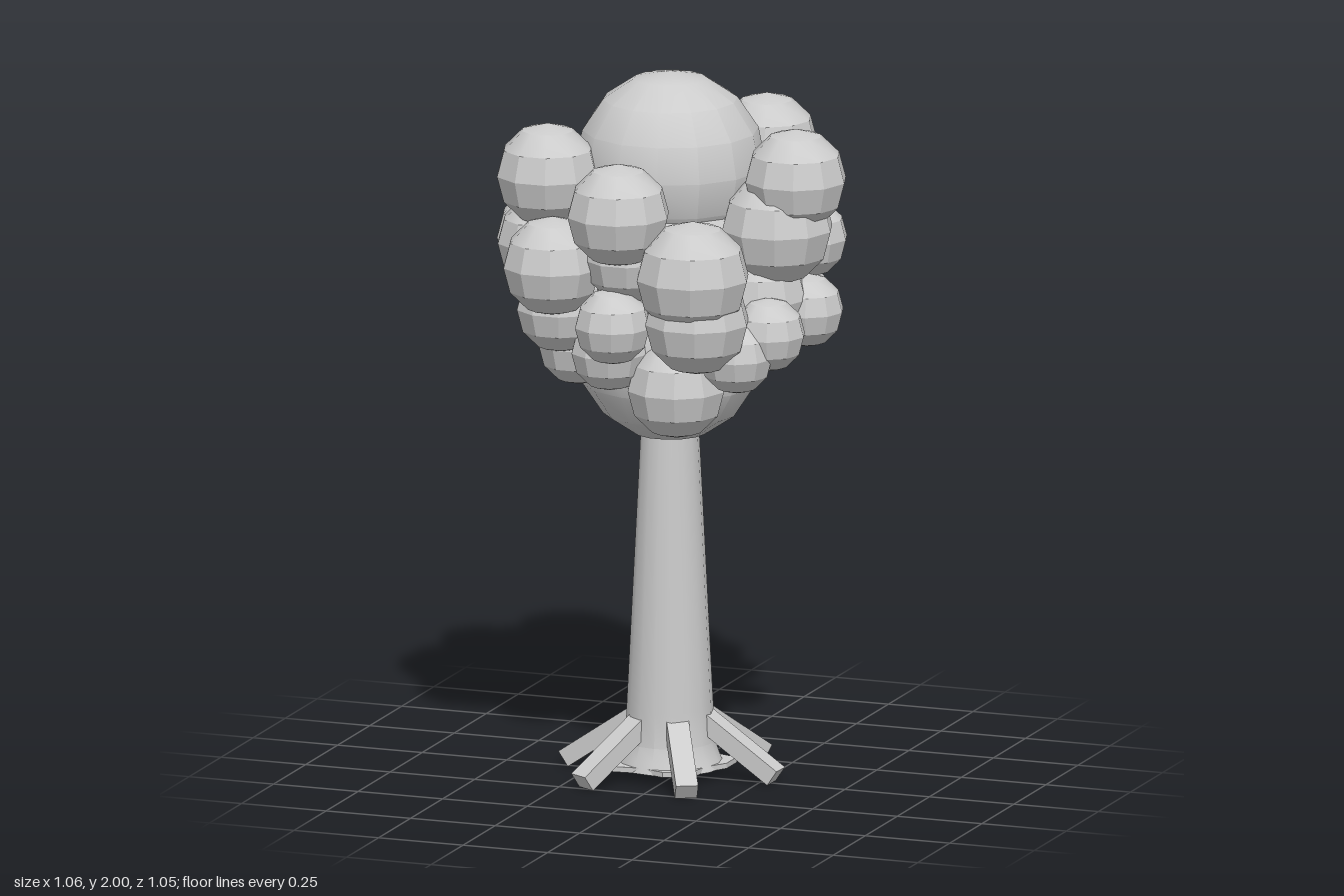
import * as THREE from 'three';
import { toCreasedNormals } from 'three/addons/utils/BufferGeometryUtils.js';

const CX = -0.015; // trunk axis
const CREASE = 0.47;

// Small leaf clumps: x, y, z, radius
const upperClumps = [
  [-0.17, 1.635, -0.375, 0.158], [0.16, 1.745, -0.29, 0.144], [0.383, 1.74, 0.075, 0.144],
  [-0.03, 1.67, 0.37, 0.145], [-0.29, 1.735, 0.235, 0.145],
];
const middleClumps = [
  [-0.4, 1.495, -0.025, 0.134], [-0.395, 1.53, -0.235, 0.128], [-0.27, 1.55, -0.25, 0.144],
  [0.03, 1.52, -0.36, 0.125], [0.21, 1.58, -0.275, 0.148], [0.34, 1.525, -0.14, 0.11],
  [0.33, 1.6, 0.08, 0.158], [0.19, 1.51, 0.37, 0.16], [-0.24, 1.5, 0.33, 0.14],
  [-0.03, 1.53, 0.29, 0.125], [-0.32, 1.53, 0.18, 0.134],
];
const lowerClumps = [
  [0.195, 1.38, 0.35, 0.148], [0.28, 1.27, 0.265, 0.104], [0.35, 1.325, 0.2, 0.104],
  [0.39, 1.355, 0.005, 0.104], [0.22, 1.305, -0.3, 0.118], [-0.05, 1.35, 0.36, 0.108],
  [-0.35, 1.38, -0.17, 0.134], [-0.33, 1.36, 0.03, 0.125], [-0.17, 1.42, -0.34, 0.138],
  [0.03, 1.24, -0.385, 0.1], [-0.25, 1.36, 0.24, 0.125], [0.28, 1.4, 0.08, 0.134],
  [0.2, 1.38, -0.12, 0.12], [0, 1.38, -0.26, 0.12],
];
const bottomClumps = [
  [0.08, 1.15, 0.205, 0.14], [-0.225, 1.17, -0.15, 0.14], [-0.1, 1.25, 0.25, 0.11],
  [-0.23, 1.24, 0.15, 0.115], [0.17, 1.23, -0.1, 0.11],
];

function ball(r, w, h) {
  return toCreasedNormals(new THREE.SphereGeometry(r, w, h), CREASE);
}

export function createModel() {
  const model = new THREE.Group();
  const grey = new THREE.MeshStandardMaterial({ color: 0xcccccc });
  grey.name = 'plain grey';

  const add = (parent, name, geometry, x, y, z) => {
    const mesh = new THREE.Mesh(geometry, grey);
    mesh.name = name;
    mesh.position.set(x, y, z);
    parent.add(mesh);
    return mesh;
  };

  // Tapered trunk with a flared foot
  const profile = [[0, 0.03], [0.15, 0.03], [0.138, 0.06], [0.124, 0.1], [0.12, 0.2], [0.08, 1.0], [0, 1.0]];
  const trunk = new THREE.LatheGeometry(profile.map(([r, y]) => new THREE.Vector2(r, y)), 16);
  add(model, 'trunk', toCreasedNormals(trunk, CREASE), CX, 0, 0.005);

  // Ragged plate at the foot
  const rim = new THREE.Shape();
  for (let i = 0; i < 14; i++) {
    const a = (i / 14) * Math.PI * 2;
    const r = 0.165 + 0.025 * Math.sin(i * 2.3);
    rim[i ? 'lineTo' : 'moveTo'](Math.cos(a) * r, Math.sin(a) * r);
  }
  const plate = new THREE.ExtrudeGeometry(rim, { depth: 0.015, bevelEnabled: false });
  plate.rotateX(-Math.PI / 2);
  add(model, 'footPlate', plate, CX, 0.03, 0);

  // Six sloping roots
  const roots = new THREE.Group();
  roots.name = 'roots';
  roots.position.set(CX, 0, -0.008);
  roots.rotation.y = -0.03;
  const slope = 0.6;
  for (let i = 0; i < 6; i++) {
    const arm = new THREE.Group();
    arm.name = 'rootArm';
    arm.rotation.y = (i * Math.PI) / 3;
    const root = add(arm, 'root', new THREE.BoxGeometry(0.26, 0.05, 0.062), 0.205, 0.094, 0);
    root.rotation.z = -slope;
    roots.add(arm);
  }
  model.add(roots);

  // Large crown balls stacked on the trunk
  const crown = new THREE.Group();
  crown.name = 'crown';
  for (const [y, r] of [[1.22, 0.265], [1.48, 0.28], [1.735, 0.265]]) {
    add(crown, 'crownCore', ball(r, 14, 8), CX, y, 0.003);
  }
  model.add(crown);

  // Leaf clumps by layer
  const layers = { upperClumps, middleClumps, lowerClumps, bottomClumps };
  for (const [name, list] of Object.entries(layers)) {
    const layer = new THREE.Group();
    layer.name = name;
    list.forEach(([x, y, z, r]) => add(layer, 'leafClump', ball(r, 10, 6), x, y, z));
    model.add(layer);
  }
  return model;
}
